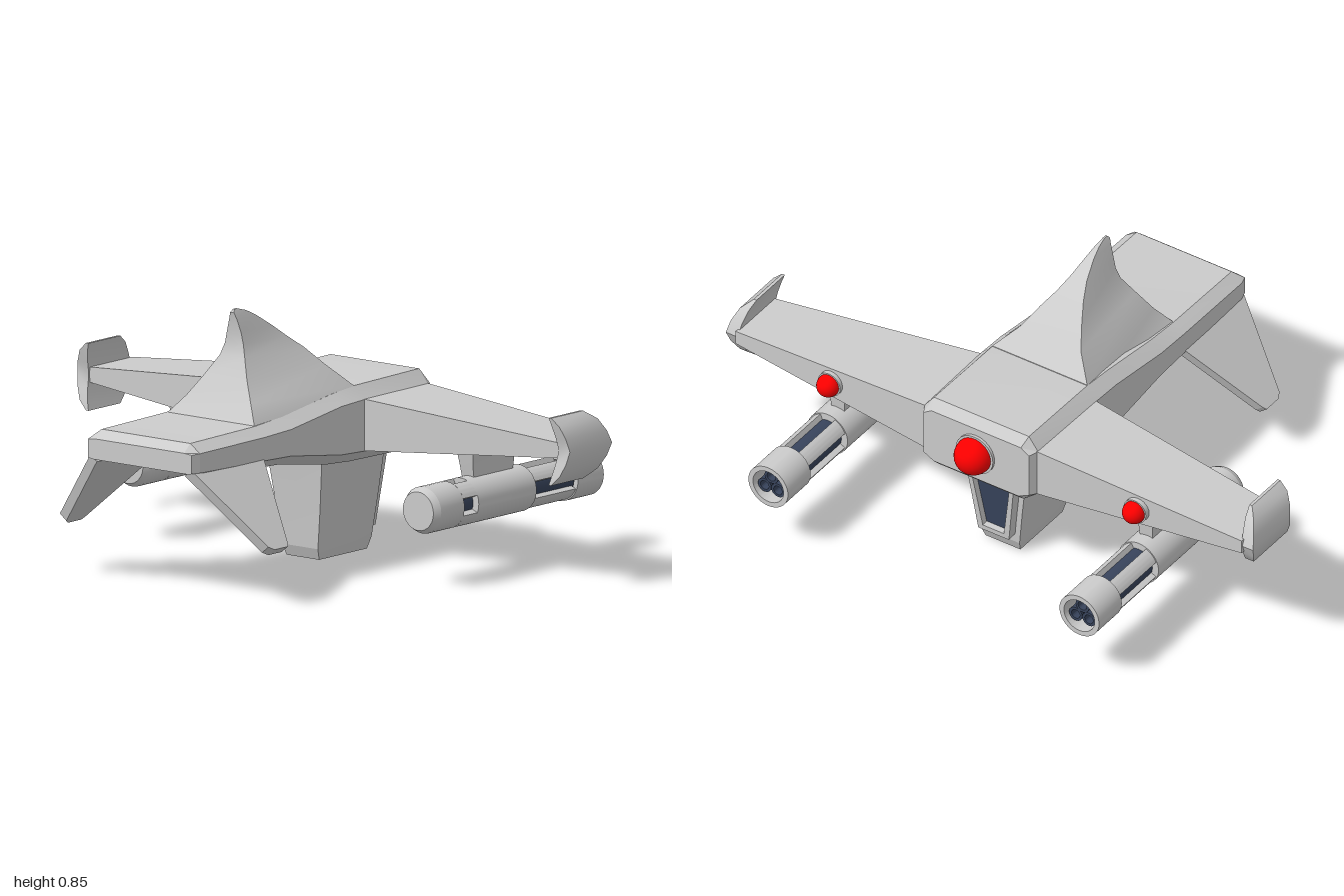
import * as THREE from 'three';
import { toCreasedNormals } from 'three/addons/utils/BufferGeometryUtils.js';

const grey = new THREE.MeshStandardMaterial({ color: 0xcccccc });
const red = new THREE.MeshStandardMaterial({ color: 0xff0000 });
const navy = new THREE.MeshStandardMaterial({ color: 0x38445c });

function add(parent, name, geometry, material = grey) {
  const mesh = new THREE.Mesh(geometry, material);
  mesh.name = name;
  parent.add(mesh);
  return mesh;
}

// Skin over rings of equal point count with fan caps; faces are turned outward by volume sign
function loft(rings, crease = 0.5) {
  const n = rings[0].length;
  const tris = [];
  for (let r = 0; r < rings.length - 1; r++) {
    for (let i = 0; i < n; i++) {
      const j = (i + 1) % n;
      const [a, b, c, d] = [rings[r][i], rings[r][j], rings[r + 1][j], rings[r + 1][i]];
      tris.push([a, b, c], [a, c, d]);
    }
  }
  const last = rings[rings.length - 1];
  for (let i = 1; i < n - 1; i++) {
    tris.push([rings[0][0], rings[0][i + 1], rings[0][i]], [last[0], last[i], last[i + 1]]);
  }
  const v = (p) => new THREE.Vector3(...p);
  const o = v(rings[0][0]);
  let volume = 0;
  for (const [a, b, c] of tris) volume += v(a).sub(o).dot(v(b).sub(o).cross(v(c).sub(o)));
  if (volume < 0) tris.forEach((t) => t.reverse());
  const geo = new THREE.BufferGeometry();
  geo.setAttribute('position', new THREE.Float32BufferAttribute(tris.flat(2), 3));
  return toCreasedNormals(geo, crease);
}

// Cylinder lying along z
function rod(radius, z0, z1, sides = 24) {
  return new THREE.CylinderGeometry(radius, radius, Math.abs(z1 - z0), sides)
    .rotateX(Math.PI / 2).translate(0, 0, (z0 + z1) / 2);
}

// Hollow sleeve along z, covering the angles a0..a1
function sleeve(outer, inner, z0, z1, a0 = 0, a1 = Math.PI * 2) {
  const shape = new THREE.Shape();
  shape.absarc(0, 0, outer, a0, a1, false);
  if (a1 - a0 > 6.2) {
    shape.holes.push(new THREE.Path().absarc(0, 0, inner, 0, Math.PI * 2, true));
  } else {
    shape.absarc(0, 0, inner, a1, a0, true);
  }
  const geo = new THREE.ExtrudeGeometry(shape, { depth: z1 - z0, bevelEnabled: false, curveSegments: a1 - a0 > 6.2 ? 32 : 6 });
  return toCreasedNormals(geo.translate(0, 0, z0), 0.6);
}

function gunPod() {
  const pod = new THREE.Group();
  pod.name = 'gunPod';
  const nose = [[0.05, -0.055], [0.075, -0.055], [0.075, 0.06], [0.062, 0.083], [0, 0.083]];
  const noseGeo = new THREE.LatheGeometry(nose.map((p) => new THREE.Vector2(...p)), 28).rotateX(Math.PI / 2);
  add(pod, 'nose', toCreasedNormals(noseGeo, 0.5));
  add(pod, 'midSleeve', sleeve(0.075, 0.05, -0.41, -0.125));
  add(pod, 'muzzleSleeve', sleeve(0.075, 0.058, -0.742, -0.615));
  add(pod, 'core', rod(0.052, -0.03, -0.64), navy);
  // Four ribs leave slots at top, bottom and sides
  for (let i = 0; i < 4; i++) {
    const a = (i * Math.PI) / 2;
    add(pod, 'frontRib', sleeve(0.075, 0.05, -0.125, -0.055, a + 0.38, a + Math.PI / 2 - 0.38));
    add(pod, 'rearRib', sleeve(0.071, 0.05, -0.615, -0.41, a + 0.4, a + Math.PI / 2 - 0.4));
  }
  for (let i = 0; i < 3; i++) {
    const a = Math.PI / 2 + (i * Math.PI * 2) / 3;
    add(pod, 'barrel', sleeve(0.025, 0.016, -0.725, -0.63), navy)
      .position.set(0.029 * Math.cos(a), 0.029 * Math.sin(a), 0);
  }
  return pod;
}

function lamp(radius, name) {
  const group = new THREE.Group();
  group.name = name;
  add(group, 'bulb', new THREE.SphereGeometry(radius, 24, 16), red);
  add(group, 'collar', rod(radius * 1.12, 0.004, 0.05));
  return group;
}

export function createModel() {
  const model = new THREE.Group();

  // Fuselage: z, top edge, shoulder, lower edge, keel edge (half-width, y)
  const hull = [
    [0.74, 0.18, 0.483, 0.21, 0.48, 0.21, 0.42, 0.19, 0.417],
    [0.71, 0.18, 0.51, 0.22, 0.482, 0.22, 0.42, 0.19, 0.414],
    [0.39, 0.18, 0.515, 0.22, 0.485, 0.22, 0.41, 0.18, 0.38],
    [0.26, 0.18, 0.525, 0.22, 0.49, 0.22, 0.405, 0.17, 0.372],
    [0.01, 0.18, 0.56, 0.22, 0.525, 0.22, 0.37, 0.16, 0.332],
    [-0.1, 0.18, 0.57, 0.22, 0.53, 0.22, 0.365, 0.16, 0.325],
    [-0.42, 0.18, 0.575, 0.215, 0.53, 0.215, 0.365, 0.16, 0.32],
    [-0.45, 0.17, 0.545, 0.2, 0.525, 0.2, 0.37, 0.16, 0.35],
  ];
  add(model, 'fuselage', loft(hull.map(([z, ...s]) => {
    const half = [0, 2, 4, 6].map((i) => [s[i], s[i + 1], z]);
    return [...half, ...half.map(([x, y]) => [-x, y, z]).reverse()];
  }), 0.3));

  // Dorsal fin: y, front z, front half-width, rear z, rear half-width
  const fin = [
    [0.51, 0.392, 0.18, -0.09, 0.195],
    [0.572, 0.35, 0.13, -0.095, 0.18],
    [0.64, 0.315, 0.085, -0.035, 0.115],
    [0.70, 0.283, 0.05, 0.025, 0.078],
    [0.74, 0.274, 0.037, 0.075, 0.05],
    [0.78, 0.275, 0.028, 0.125, 0.029],
    [0.82, 0.28, 0.015, 0.185, 0.014],
    [0.84, 0.285, 0.008, 0.225, 0.007],
    [0.85, 0.277, 0.003, 0.262, 0.003],
  ];
  add(model, 'dorsalFin', loft(fin.map(([y, zf, wf, zr, wr]) =>
    [[wf, y, zf], [wr, y, zr], [-wr, y, zr], [-wf, y, zf]])));

  // Belly pod with a framed intake at its rear
  const belly = [
    [0.003, 0.066, -0.065, -0.3], [0.04, 0.073, -0.05, -0.315],
    [0.17, 0.09, -0.04, -0.325], [0.36, 0.115, -0.02, -0.335],
  ];
  add(model, 'bellyPod', loft(belly.map(([y, w, zf, zr]) =>
    [[w, y, zf], [w, y, zr], [-w, y, zr], [-w, y, zf]]), 0.2));
  const trapezoid = (Kind, inset) => new Kind([
    [-0.058 + inset, -0.12 + inset], [0.058 - inset, -0.12 + inset],
    [0.09 - inset, 0.12 - inset], [-0.09 + inset, 0.12 - inset],
  ].map((p) => new THREE.Vector2(...p)));
  const frame = trapezoid(THREE.Shape, 0);
  frame.holes.push(trapezoid(THREE.Path, 0.018));
  const intake = new THREE.Group();
  intake.name = 'intake';
  intake.position.set(0, 0.19, -0.362);
  intake.rotation.x = -0.08;
  add(intake, 'intakeFrame', new THREE.ExtrudeGeometry(frame, { depth: 0.06, bevelEnabled: false }));
  add(intake, 'intakePanel', new THREE.ExtrudeGeometry(trapezoid(THREE.Shape, 0.01),
    { depth: 0.03, bevelEnabled: false }).translate(0, 0, 0.022), navy);
  model.add(intake);

  const tailLamp = lamp(0.063, 'rearLamp');
  tailLamp.position.set(0, 0.45, -0.464);
  model.add(tailLamp);

  for (const s of [1, -1]) {
    const side = s > 0 ? 'left' : 'right';

    // Tapered wing: x, y range, z range
    const wing = [[0.19, 0.363, 0.533, -0.1, -0.425], [0.96, 0.425, 0.473, -0.172, -0.38]];
    add(model, side + 'Wing', loft(wing.map(([x, y0, y1, zf, zr]) =>
      [[s * x, y0, zf], [s * x, y1, zf], [s * x, y1, zr], [s * x, y0, zr]])));

    // Crescent wing tip: y, inner x, outer x, front z, rear z
    const tip = [
      [0.34, 0.935, 0.945, -0.142, -0.3], [0.37, 0.943, 0.975, -0.147, -0.335],
      [0.41, 0.951, 0.992, -0.158, -0.36], [0.45, 0.955, 1.0, -0.168, -0.376],
      [0.49, 0.951, 0.992, -0.158, -0.36], [0.53, 0.943, 0.975, -0.147, -0.335],
      [0.556, 0.935, 0.945, -0.142, -0.3],
    ];
    add(model, side + 'WingTip', loft(tip.map(([y, xi, xo, zf, zr]) =>
      [[s * xi, y, zf], [s * xo, y, zf], [s * xo, y, zr], [s * xi, y, zr]])));

    // Canted lower fin, a slab with a swept outline
    const outline = [[0.735, 0.42], [0.62, 0.185], [0.6, 0.175], [0.535, 0.175], [0.525, 0.185], [0.39, 0.41]];
    add(model, side + 'LowerFin', loft([0.013, -0.013].map((t) =>
      outline.map(([z, y]) => [s * (0.192 + (0.42 - y) * 0.93 + t), y + t * 0.8, z])), 0.2));

    // Gun pod hung from a pylon
    const pod = gunPod();
    pod.position.set(s * 0.59, 0.248, 0);
    model.add(pod);
    const pylon = [[0.31, 0.024, -0.17, -0.36], [0.36, 0.027, -0.16, -0.365], [0.42, 0.035, -0.15, -0.37]];
    add(model, side + 'Pylon', loft(pylon.map(([y, w, zf, zr]) =>
      [[-w, zf], [w, zf], [w, zr], [-w, zr]].map(([x, z]) => [s * 0.585 + x, y, z]))));

    const wingLamp = lamp(0.038, side + 'WingLamp');
    wingLamp.position.set(s * 0.58, 0.45, -0.422);
    model.add(wingLamp);
  }
  return model;
}
